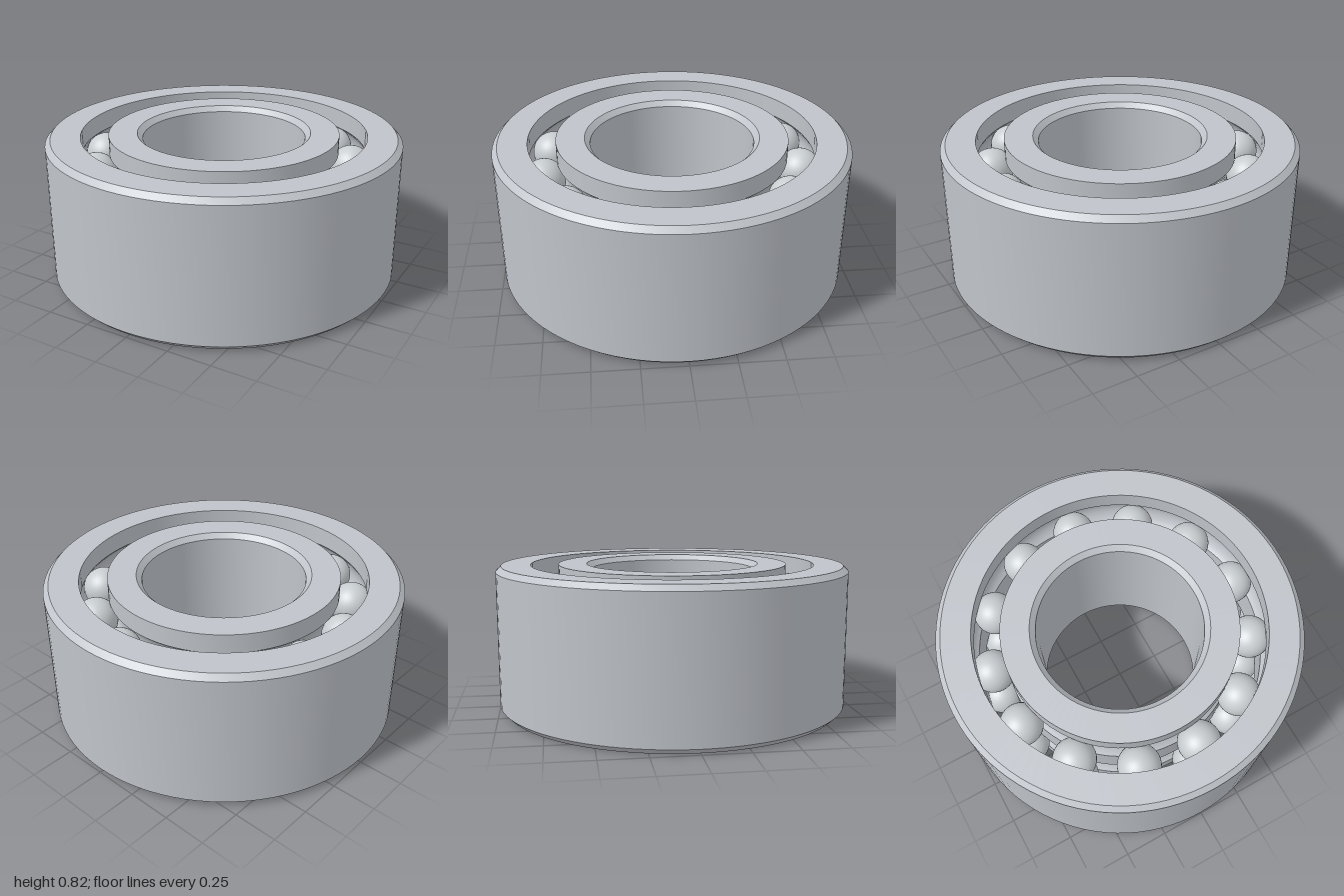
import * as THREE from 'three';
import { toCreasedNormals } from 'three/addons/utils/BufferGeometryUtils.js';

const HEIGHT = 0.82;
const CHAMFER = 0.03;
const PITCH = 0.7275;            // radius of the ball circle
const BALL = 0.12;
const GROOVE = 0.123;            // raceway radius, a touch larger than the balls
const ROWS = [0.205, 0.615];     // heights of the two ball rows
const BALL_COUNT = 13;

// Raceway arc around one ball row; side +1 cuts the outer ring, -1 the inner ring
function raceway(wallRadius, y, side) {
  const half = Math.acos(Math.abs(wallRadius - PITCH) / GROOVE);
  const points = [];
  for (let i = 0; i <= 12; i++) {
    const a = half - (2 * half * i) / 12;
    points.push([PITCH + side * GROOVE * Math.cos(a), y + side * GROOVE * Math.sin(a)]);
  }
  return points;
}

// Closed profile spun around the vertical axis
function ring(name, profile, material) {
  const points = [...profile, profile[0]].map(([r, y]) => new THREE.Vector2(r, y));
  const geometry = toCreasedNormals(new THREE.LatheGeometry(points, 96), Math.PI / 6);
  const mesh = new THREE.Mesh(geometry, material);
  mesh.name = name;
  return mesh;
}

export function createModel() {
  const ringSteel = new THREE.MeshStandardMaterial({ color: 0xc0c4ca });
  ringSteel.name = 'ring steel';
  const ballSteel = new THREE.MeshStandardMaterial({ color: 0xc8cdd0 });
  ballSteel.name = 'ball steel';

  const bearing = new THREE.Group();
  bearing.name = 'ballBearing';

  // Outer ring: chamfered outside, two raceways inside
  const outerWall = 0.805;
  bearing.add(ring('outerRing', [
    [outerWall, 0], [1 - CHAMFER, 0], [1, CHAMFER],
    [1, HEIGHT - CHAMFER], [1 - CHAMFER, HEIGHT], [outerWall, HEIGHT],
    ...raceway(outerWall, ROWS[1], 1),
    ...raceway(outerWall, ROWS[0], 1),
  ], ringSteel));

  // Inner ring: two raceways outside, chamfered bore
  const innerWall = 0.65, bore = 0.46;
  bearing.add(ring('innerRing', [
    [bore + CHAMFER, 0], [innerWall, 0],
    ...raceway(innerWall, ROWS[0], -1),
    ...raceway(innerWall, ROWS[1], -1),
    [innerWall, HEIGHT], [bore + CHAMFER, HEIGHT],
    [bore, HEIGHT - CHAMFER], [bore, CHAMFER],
  ], ringSteel));

  // Two aligned rows of balls
  const ballGeometry = new THREE.SphereGeometry(BALL, 32, 20);
  ROWS.forEach((y, row) => {
    const group = new THREE.Group();
    group.name = row === 0 ? 'lowerBallRow' : 'upperBallRow';
    for (let i = 0; i < BALL_COUNT; i++) {
      const a = (i / BALL_COUNT) * Math.PI * 2;
      const ball = new THREE.Mesh(ballGeometry, ballSteel);
      ball.name = 'ball';
      ball.position.set(PITCH * Math.cos(a), y, PITCH * Math.sin(a));
      group.add(ball);
    }
    bearing.add(group);
  });

  return bearing;
}
